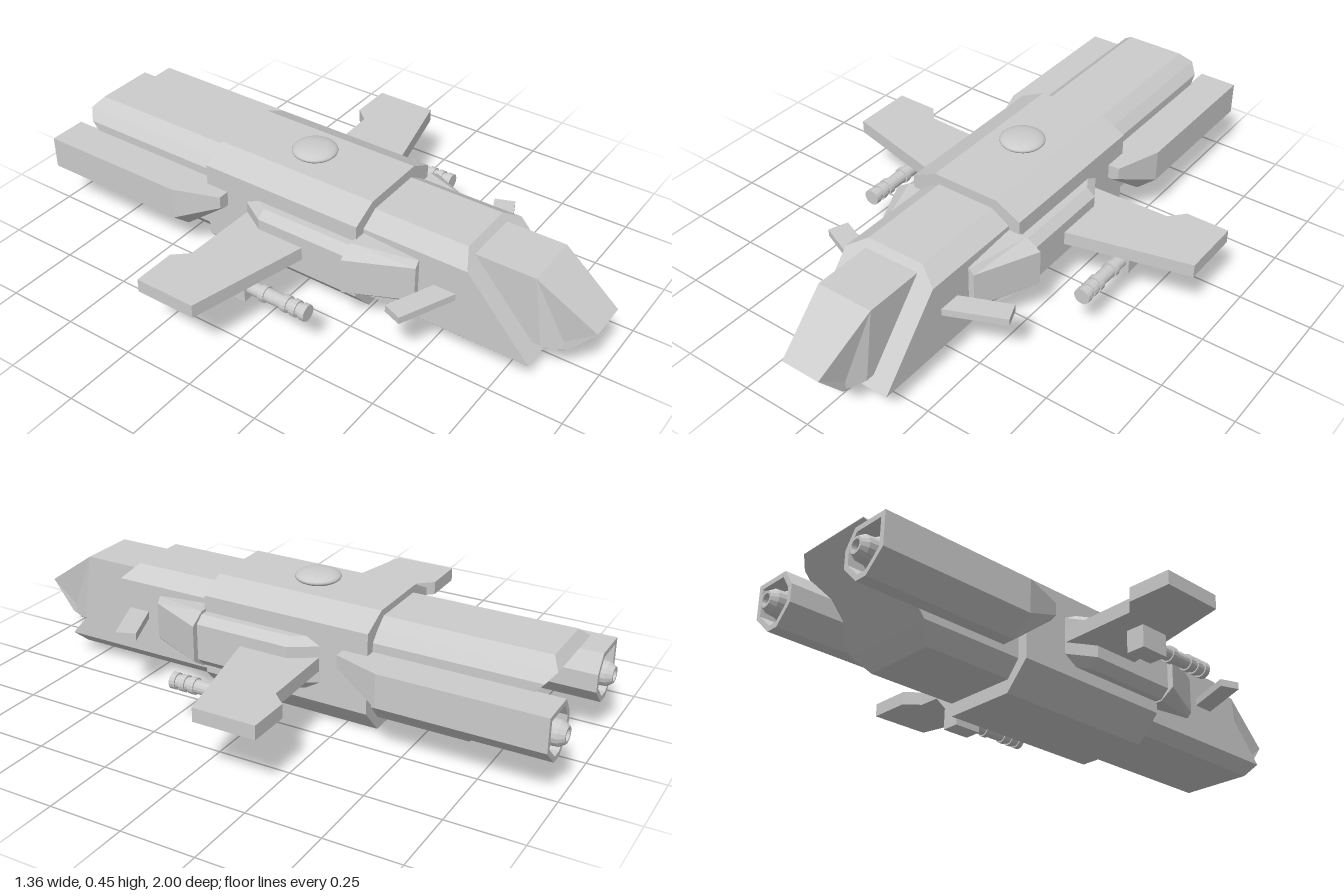
import * as THREE from 'three';

const flat = new THREE.MeshStandardMaterial({ color: 0xcccccc, flatShading: true });
const smooth = new THREE.MeshStandardMaterial({ color: 0xcccccc });

// Skin a list of equal-length [x, y, z] rings, cap both ends, and face outwards.
function loft(rings) {
  const tris = [];
  const n = rings[0].length;
  for (let r = 0; r < rings.length - 1; r++) {
    const a = rings[r], b = rings[r + 1];
    for (let i = 0; i < n; i++) {
      const j = (i + 1) % n;
      tris.push([a[i], a[j], b[j]], [a[i], b[j], b[i]]);
    }
  }
  const cap = (ring, flip) => {
    for (let i = 0; i < n / 2 - 1; i++) {
      const p = ring[i], q = ring[i + 1], s = ring[n - 2 - i], t = ring[n - 1 - i];
      for (const f of [[p, q, s], [p, s, t]]) {
        if (new Set(f).size === 3) tris.push(flip ? [f[0], f[2], f[1]] : f);
      }
    }
  };
  cap(rings[0], true);
  cap(rings[rings.length - 1], false);
  const v = (p) => new THREE.Vector3(...p);
  const volume = tris.reduce((sum, [a, b, c]) => sum + v(a).dot(v(b).cross(v(c))), 0);
  const pos = tris.flatMap(([a, b, c]) => (volume > 0 ? [a, b, c] : [a, c, b])).flat();
  const g = new THREE.BufferGeometry();
  g.setAttribute('position', new THREE.Float32BufferAttribute(pos, 3));
  g.computeVertexNormals();
  return g;
}

// Hull from rows of [y, halfWidth, zFront, zBack], top to bottom.
function hull(rows) {
  const ring = (k) => [
    ...rows.map((r) => [-r[1], r[0], r[k]]),
    ...[...rows].reverse().map((r) => [r[1], r[0], r[k]]),
  ];
  return loft([ring(2), ring(3)]);
}

const atZ = (pts, z) => pts.map(([x, y]) => [x, y, z]);
const slab = (pts, y0, y1) => loft([y0, y1].map((y) => pts.map(([x, z]) => [x, y, z])));

function add(parent, name, geometry, material = flat) {
  const m = new THREE.Mesh(geometry, material);
  m.name = name;
  parent.add(m);
  return m;
}

export function createModel() {
  const model = new THREE.Group();
  model.name = 'spaceship';

  // Fuselage
  add(model, 'midHull', hull([
    [0.41, 0.12, 0.24, -0.355], [0.365, 0.21, 0.24, -0.355],
    [0.09, 0.21, 0.24, -0.355], [0, 0.128, 0.24, -0.355],
  ]));
  add(model, 'frontHull', hull([
    [0.375, 0.105, 0.575, 0.2], [0.335, 0.17, 0.61, 0.2],
    [0.08, 0.17, 0.838, 0.2], [0.04, 0.13, 0.81, 0.2],
  ]));
  add(model, 'rearHull', hull([
    [0.387, 0.105, -0.3, -0.905], [0.355, 0.145, -0.3, -0.932], [0.322, 0.175, -0.3, -0.905],
    [0.1, 0.175, -0.3, -0.72], [0.045, 0.13, -0.3, -0.67],
  ]));

  // Wedge cockpit
  add(model, 'cockpit', hull([
    [0.352, 0.1, 0.8, 0.55], [0.215, 0.07, 1, 0.55],
    [0.11, 0.075, 0.915, 0.55], [0.078, 0.07, 0.84, 0.55],
  ]));
  for (const s of [-1, 1]) {
    // Flared cockpit side
    add(model, 'cockpitSide', loft([
      [[s * 0.1, 0.352, 0.58], [s * 0.1, 0.352, 0.8], [s * 0.1, 0.11, 0.84], [s * 0.1, 0.11, 0.7]],
      [[s * 0.05, 0.352, 0.58], [s * 0.07, 0.34, 0.815], [s * 0.07, 0.09, 0.89], [s * 0.07, 0.09, 0.7]],
    ]));
    add(model, 'cockpitCheek', loft([
      [[s * 0.1, 0.352, 0.8], [s * 0.07, 0.215, 1], [s * 0.07, 0.11, 0.915], [s * 0.1, 0.11, 0.84]],
      [[s * 0.06, 0.33, 0.8], [s * 0.05, 0.215, 0.97], [s * 0.05, 0.11, 0.89], [s * 0.06, 0.11, 0.82]],
    ]));
  }

  // Roof turret
  const turret = add(model, 'turretDome', new THREE.SphereGeometry(0.076, 28, 16), smooth);
  turret.scale.y = 0.28;
  turret.position.set(0, 0.424, -0.065);
  add(model, 'turretBase', new THREE.CylinderGeometry(0.06, 0.05, 0.02, 28)).position.set(0, 0.413, -0.065);

  for (const s of [1, -1]) {
    const side = new THREE.Group();
    side.name = s > 0 ? 'leftSide' : 'rightSide';
    model.add(side);
    const mx = (pts) => pts.map(([x, y]) => [s * x, y]);

    // Side bulge and the tapered pod ahead of it
    const bulge = (x) => mx([[0.15, 0.31], [x - 0.03, 0.31], [x, 0.285],
      [x, 0.16], [x - 0.03, 0.13], [0.15, 0.13]]);
    add(side, 'sideBulge', loft([
      atZ(bulge(0.265), 0.24), atZ(bulge(0.265), -0.1), atZ(bulge(0.21), -0.19),
    ]));
    add(side, 'sidePod', loft([
      atZ(mx([[0.12, 0.32], [0.235, 0.32], [0.287, 0.285], [0.287, 0.16], [0.235, 0.125], [0.12, 0.125]]), 0.235),
      atZ(mx([[0.12, 0.305], [0.175, 0.305], [0.19, 0.285], [0.19, 0.16], [0.175, 0.145], [0.12, 0.145]]), 0.445),
    ]));

    // Wings and canards
    add(side, 'wing', slab(mx([[0.18, 0.092], [0.68, -0.03], [0.68, -0.245],
      [0.53, -0.245], [0.485, -0.195], [0.18, -0.187]]), 0.2, 0.247));
    add(side, 'canard', slab(mx([[0.14, 0.59], [0.36, 0.495], [0.335, 0.43], [0.14, 0.512]]), 0.21, 0.235));

    // Hollow-backed engine
    const body = mx([[0.17, 0.292], [0.305, 0.292], [0.305, 0.178], [0.235, 0.115],
      [0.19, 0.115], [0.13, 0.175], [0.13, 0.235]]);
    const nose = mx([[0.17, 0.292], [0.25, 0.292], [0.25, 0.25], [0.225, 0.24],
      [0.19, 0.24], [0.14, 0.245], [0.14, 0.265]]);
    const inset = body.map(([x, y]) => [s * 0.217 + (x - s * 0.217) * 0.8, 0.207 + (y - 0.207) * 0.8]);
    add(side, 'engine', loft([
      atZ(nose, -0.27), atZ(body, -0.43), atZ(body, -0.972), atZ(inset, -0.972), atZ(inset, -0.9),
    ]));
    const nozzle = add(side, 'engineNozzle', new THREE.LatheGeometry(
      [[0.06, 0], [0.056, 0.025], [0.042, 0.05], [0.04, 0.08], [0.027, 0.1], [0.019, 0.1], [0.014, 0.06], [0, 0.06]]
        .map(([r, h]) => new THREE.Vector2(r, h)), 16));
    nozzle.rotation.x = -Math.PI / 2;
    nozzle.position.set(s * 0.217, 0.205, -0.9);

    // Gun under the wing
    const gun = new THREE.Group();
    gun.name = 'gun';
    gun.position.set(s * 0.43, 0.163, 0);
    side.add(gun);
    add(gun, 'gunMount', new THREE.BoxGeometry(0.066, 0.076, 0.105)).position.z = -0.058;
    const tube = (name, r, z0, z1) => {
      const m = add(gun, name, new THREE.CylinderGeometry(r, r, z1 - z0, 16));
      m.rotation.x = Math.PI / 2;
      m.position.z = (z0 + z1) / 2;
    };
    tube('gunBarrel', 0.023, -0.02, 0.212);
    for (const z of [0.04, 0.125, 0.16, 0.195]) tube('barrelRing', 0.028, z, z + 0.02);
  }
  return model;
}
